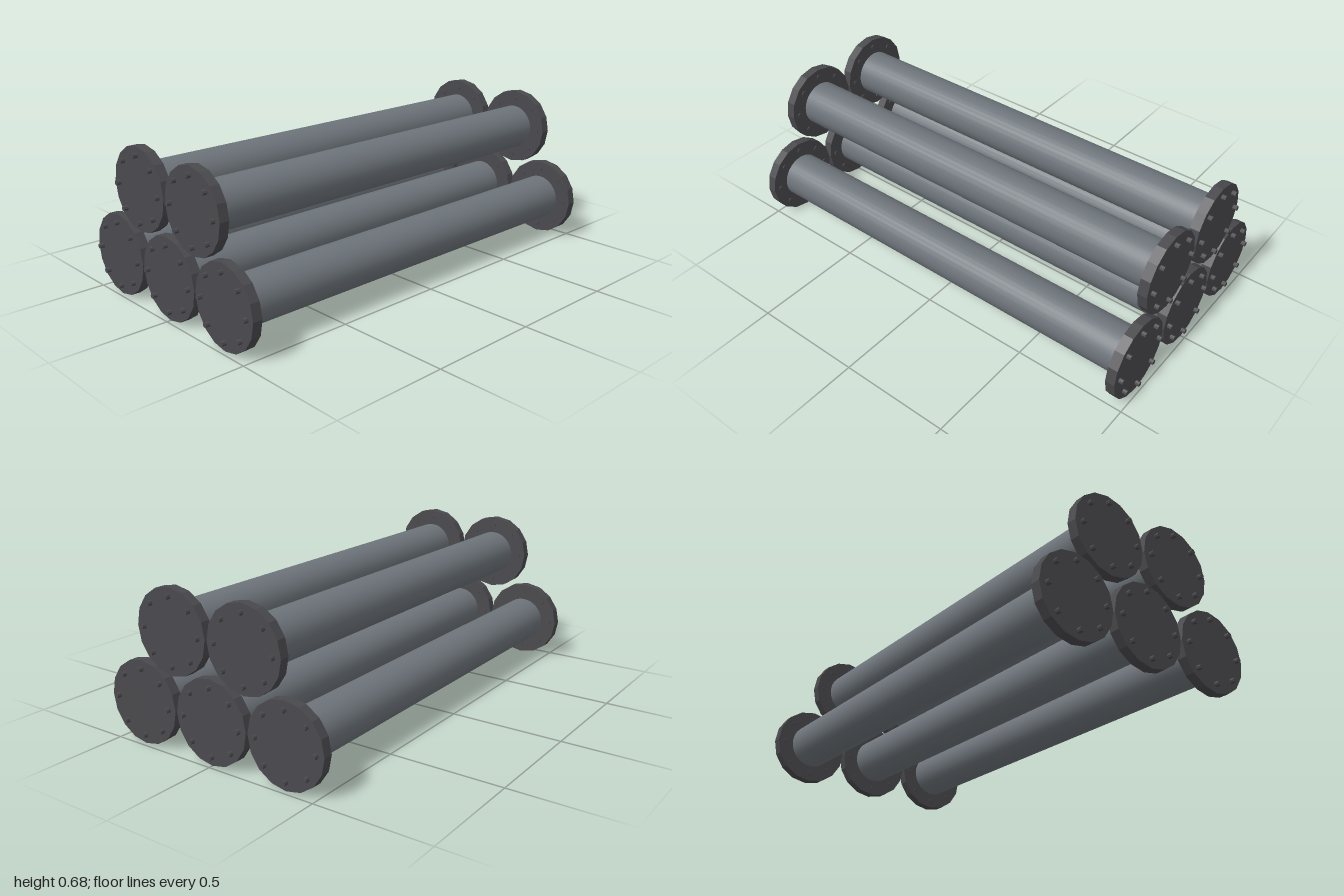
import * as THREE from 'three';

const pipeGrey = new THREE.MeshStandardMaterial({ name: 'pipeGrey', color: 0x6d747a });
const flangeGrey = new THREE.MeshStandardMaterial({ name: 'flangeGrey', color: 0x4a4a4e });
// Same grey with faceted shading for the low-poly discs
flangeGrey.flatShading = true;

const PIPE_R = 0.103, FLANGE_R = 0.178, BOLT_CIRCLE = 0.141, BOLT_R = 0.011;

// Cylinder lying along z
function rod(radius, length, sides, open = false) {
  return new THREE.CylinderGeometry(radius, radius, length, sides, 1, open).rotateX(Math.PI / 2);
}

const pipeGeo = rod(PIPE_R, 1.9, 32);
const flangeGeo = rod(FLANGE_R, 0.042, 16);
const boltGeo = rod(BOLT_R, 0.066, 8);

function add(parent, name, geometry, material, x, y, z) {
  const mesh = new THREE.Mesh(geometry, material);
  mesh.name = name;
  mesh.position.set(x, y, z);
  parent.add(mesh);
}

// Blind flange with a ring of eight through bolts
function flangedEnd(side) {
  const end = new THREE.Group();
  end.name = side > 0 ? 'frontFlange' : 'backFlange';
  add(end, 'flangeDisc', flangeGeo, flangeGrey, 0, 0, side * 0.96);
  for (let i = 0; i < 8; i++) {
    const a = (i * Math.PI) / 4;
    add(end, 'bolt', boltGeo, flangeGrey, Math.cos(a) * BOLT_CIRCLE, Math.sin(a) * BOLT_CIRCLE, side * 0.967);
  }
  return end;
}

function flangedPipe(x, y) {
  const pipe = new THREE.Group();
  pipe.name = 'flangedPipe';
  pipe.position.set(x, y, 0);
  add(pipe, 'pipeBody', pipeGeo, pipeGrey, 0, 0, 0);
  pipe.add(flangedEnd(1), flangedEnd(-1));
  return pipe;
}

export function createModel() {
  const stack = new THREE.Group();
  stack.name = 'pipeStack';
  // Three pipes on the ground, two resting on top
  for (const x of [-0.364, 0, 0.364]) stack.add(flangedPipe(x, 0.179));
  for (const x of [-0.178, 0.187]) stack.add(flangedPipe(x, 0.505));
  return stack;
}
